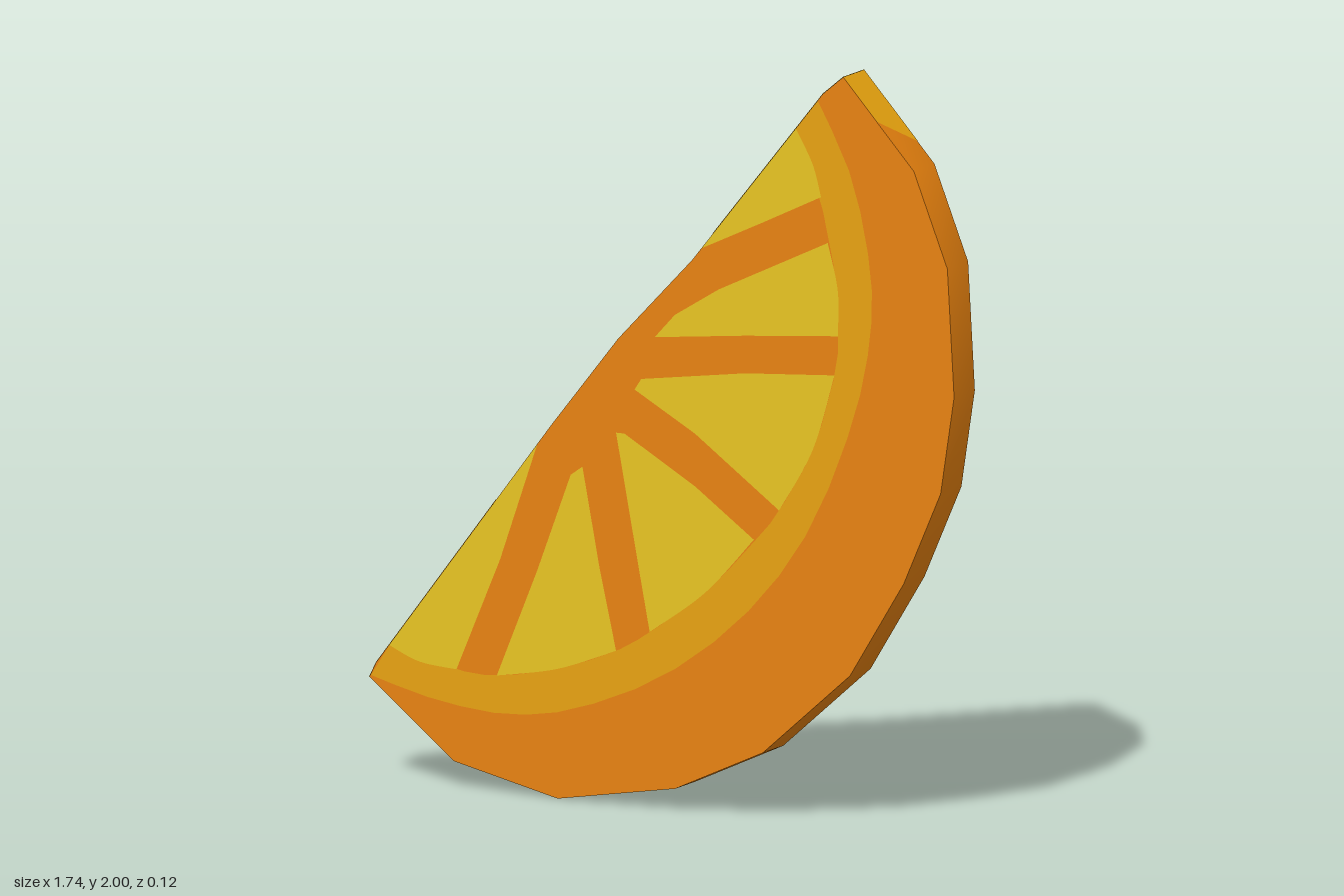
import * as THREE from 'three';
import { toCreasedNormals } from 'three/addons/utils/BufferGeometryUtils.js';

const HALF = 0.056; // half thickness of the slice
const LIFT = 0.001; // painted faces sit just above the body

const material = (name, color) => new THREE.MeshStandardMaterial({ name, color, side: THREE.DoubleSide });
const toPoints = (list) => list.map(([x, y]) => new THREE.Vector2(x, y));
const smooth = (list) => new THREE.SplineCurve(toPoints(list)).getPoints(24);

// Rind from the lower left tip round to the top, then back along the cut
const OUTLINE = [
  [-0.87, 0.27], [-0.62, 0.07], [-0.31, 0], [0.04, 0.06], [0.3, 0.18], [0.56, 0.41],
  [0.72, 0.67], [0.83, 0.92], [0.87, 1.18], [0.85, 1.52], [0.75, 1.77], [0.54, 2],
  [0.48, 1.95], [0.35, 1.79], [0.09, 1.47], [-0.13, 1.24], [-0.33, 0.99], [-0.85, 0.31],
];

const PITH_OUTER = [
  [-0.865, 0.275], [-0.68, 0.23], [-0.465, 0.21], [-0.255, 0.245], [0.01, 0.36], [0.25, 0.545],
  [0.435, 0.78], [0.565, 1.075], [0.62, 1.31], [0.62, 1.5], [0.565, 1.735], [0.465, 1.93],
];
const PITH_INNER = [
  [0.4, 1.85], [0.47, 1.675], [0.52, 1.45], [0.525, 1.31], [0.515, 1.205], [0.45, 1], [0.35, 0.83],
  [0.28, 0.745], [0.13, 0.59], [-0.035, 0.47], [-0.135, 0.41], [-0.31, 0.345], [-0.49, 0.31],
  [-0.61, 0.315], [-0.81, 0.36],
];

// Each pulp wedge: its inner sides, then the curved end against the pith
const WEDGES = [
  { sides: [[0.12, 1.505], [0.3, 1.59]], arc: [[0.475, 1.675], [0.45, 1.76], [0.4, 1.85]] },
  { sides: [[0.25, 1.285], [-0.02, 1.255], [0.04, 1.32], [0.17, 1.4]], arc: [[0.495, 1.555], [0.525, 1.43], [0.525, 1.31]] },
  { sides: [[0.1, 1.01], [-0.08, 1.11], [-0.06, 1.14], [0.25, 1.185]], arc: [[0.515, 1.205], [0.45, 1], [0.35, 0.83]] },
  { sides: [[-0.07, 0.65], [-0.135, 0.99], [-0.11, 0.99], [0.1, 0.87]], arc: [[0.275, 0.745], [0.13, 0.59], [-0.035, 0.47]] },
  { sides: [[-0.37, 0.6], [-0.27, 0.865], [-0.235, 0.89], [-0.185, 0.63]], arc: [[-0.135, 0.41], [-0.31, 0.345], [-0.49, 0.31]] },
  { sides: [[-0.48, 0.62], [-0.37, 0.935]], arc: [[-0.81, 0.36], [-0.72, 0.325], [-0.61, 0.315]] },
];

export function createModel() {
  const group = new THREE.Group();
  const rind = material('rind orange', 0xe8820f);
  const pith = material('pith amber', 0xe8a30f);
  const pulp = material('pulp yellow', 0xe8c522);

  const add = (name, geometry, mat) => {
    const mesh = new THREE.Mesh(geometry, mat);
    mesh.name = name;
    group.add(mesh);
    return mesh;
  };

  // Flat painted shape on both the front and the back of the slice
  const paintBoth = (name, points, mat, lift) => {
    const geometry = new THREE.ShapeGeometry(new THREE.Shape(points));
    add(name + 'Front', geometry, mat).position.z = HALF + lift;
    const back = geometry.clone();
    back.scale(1, 1, -1);
    const index = back.index.array; // reverse the winding so the back faces outward
    for (let i = 0; i < index.length; i += 3) [index[i], index[i + 1]] = [index[i + 1], index[i]];
    back.computeVertexNormals();
    add(name + 'Back', back, mat).position.z = -HALF - lift;
  };

  // Painted strip on the edge from a to b, with separate front and back ends
  const paintEdge = (name, aFront, aBack, bFront, bBack, mat) => {
    const dir = new THREE.Vector2(bFront[0] - aFront[0], bFront[1] - aFront[1]).normalize();
    const at = ([x, y], z) => [x + dir.y * LIFT, y - dir.x * LIFT, z];
    const geometry = new THREE.BufferGeometry();
    geometry.setAttribute('position', new THREE.Float32BufferAttribute([
      ...at(aFront, HALF), ...at(aBack, -HALF), ...at(bBack, -HALF), ...at(bFront, HALF),
    ], 3));
    geometry.setIndex([0, 1, 2, 0, 2, 3]);
    geometry.computeVertexNormals();
    add(name, geometry, mat);
  };

  // Solid slice with a softly shaded rim
  const body = new THREE.ExtrudeGeometry(new THREE.Shape(toPoints(OUTLINE)), { depth: 2 * HALF, bevelEnabled: false });
  body.translate(0, 0, -HALF);
  add('rindBody', toCreasedNormals(body, 0.8), rind);

  // Pith band and pulp wedges
  paintBoth('pithBand', [...smooth(PITH_OUTER), ...smooth(PITH_INNER)], pith, LIFT);
  WEDGES.forEach(({ sides, arc }, i) =>
    paintBoth('pulpWedge' + (i + 1), [...toPoints(sides), ...smooth(arc)], pulp, 2 * LIFT));

  // Colour carried over the cut edge and the upper tip
  const [tip, cutLow, cutHigh, cutMid, top] = [0, 17, 12, 13, 11].map((i) => OUTLINE[i]);
  paintEdge('lowerTipEdge', cutLow, cutLow, tip, tip, pulp);
  paintEdge('lowerCutEdge', [-0.49, 0.781], [-0.65, 0.572], cutLow, cutLow, pulp);
  paintEdge('upperCutEdge', cutMid, cutMid, [0.15, 1.544], [0.18, 1.581], pulp);
  paintEdge('upperCutEnd', cutHigh, cutHigh, cutMid, cutMid, pulp);
  paintEdge('topTipEdge', top, top, cutHigh, cutHigh, pulp);
  paintEdge('topRimEdge', [0.64, 1.89], [0.7, 1.825], top, top, pith);

  return group;
}
